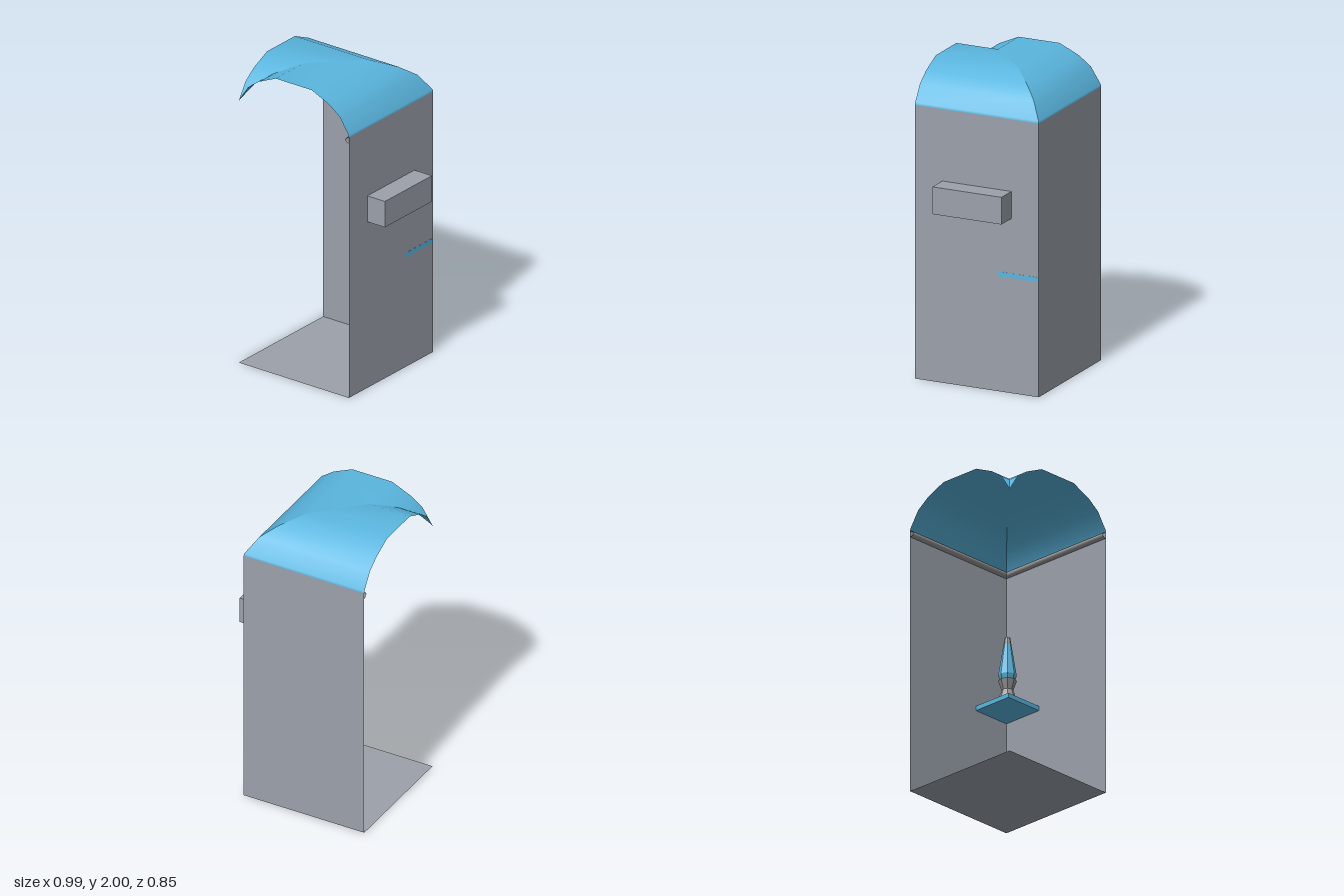
import * as THREE from 'three';

const LEFT = -0.495, RIGHT = 0.355, BACK = -0.425, FRONT = 0.425, EAVES = 1.76;
const MID_X = (LEFT + RIGHT) / 2, SIZE = RIGHT - LEFT;

function material(name, color, side = THREE.FrontSide, flatShading = false) {
  const m = new THREE.MeshStandardMaterial({ color, side, flatShading });
  m.name = name;
  return m;
}

// Sweeps a profile of [inset, y] points along the back and right sides,
// mitred in the corner; each arm is its own strip so the mitre stays sharp.
function mitredSweep(profile) {
  const rows = [
    profile.map(([d, y]) => [LEFT, y, BACK + d]),
    profile.map(([d, y]) => [RIGHT - d, y, BACK + d]),
    profile.map(([d, y]) => [RIGHT - d, y, FRONT]),
  ];
  const n = profile.length, positions = [], index = [];
  for (let arm = 0; arm < 2; arm++) {
    const base = positions.length / 3;
    positions.push(...rows[arm].flat(), ...rows[arm + 1].flat());
    for (let i = 0; i < n - 1; i++) {
      const a = base + i, b = a + n;
      index.push(a, a + 1, b, a + 1, b + 1, b);
    }
  }
  const g = new THREE.BufferGeometry();
  g.setAttribute('position', new THREE.Float32BufferAttribute(positions, 3));
  g.setIndex(index);
  g.computeVertexNormals();
  return g;
}

export function createModel() {
  const group = new THREE.Group();
  const panel = material('grey panel', 0x9ba1ab, THREE.DoubleSide);
  const blue = material('blue', 0x5ab6df, THREE.DoubleSide);
  const metal = material('metal', 0x9a9a9a, THREE.DoubleSide);
  const lampMetal = metal.clone();
  lampMetal.flatShading = true;
  const lampBlue = blue.clone();
  lampBlue.flatShading = true;

  const add = (name, geometry, mat, x = 0, y = 0, z = 0, parent = group) => {
    const mesh = new THREE.Mesh(geometry, mat);
    mesh.name = name;
    mesh.position.set(x, y, z);
    parent.add(mesh);
    return mesh;
  };

  // Floor and two walls, all single sheets
  add('floor', new THREE.PlaneGeometry(SIZE, SIZE).rotateX(-Math.PI / 2), panel, MID_X, 0, 0);
  add('backWall', new THREE.PlaneGeometry(SIZE, EAVES), panel, MID_X, EAVES / 2, BACK);
  add('sideWall', new THREE.PlaneGeometry(SIZE, EAVES).rotateY(-Math.PI / 2), panel, RIGHT, EAVES / 2, 0);

  // Barrel roof turning the corner, open at the left and front
  const half = [[0, EAVES], [0.002, 1.775], [0.07, 1.88], [0.152, 1.94], [0.285, 2]];
  const arch = [...half, ...half.map(([d, y]) => [SIZE - d, y]).reverse()];
  add('roof', mitredSweep(arch), blue);

  // Half-round rail under the eaves
  const bead = [];
  for (let i = 0; i <= 8; i++) {
    const a = (i / 8) * Math.PI;
    bead.push([0.002 + 0.024 * Math.sin(a), 1.74 + 0.02 * Math.cos(a)]);
  }
  add('rail', mitredSweep(bead), metal);

  // Box on the outside of the side wall
  add('outerBox', new THREE.BoxGeometry(0.135, 0.175, 0.475), panel, RIGHT + 0.0675, 1.21, 0);

  // Corner shelf, its end just showing through the side wall
  add('shelf', new THREE.BoxGeometry(0.271, 0.03, 0.278), blue, 0.2205, 0.755, -0.285);

  // Faceted lamp on the shelf
  const lamp = new THREE.Group();
  lamp.name = 'lamp';
  lamp.position.set(0.22, 0.77, -0.285);
  group.add(lamp);
  const turned = (name, points, mat) => add(
    name, new THREE.LatheGeometry(points.map(([r, y]) => new THREE.Vector2(r, y)), 8), mat, 0, 0, 0, lamp);
  turned('lampBase', [[0, 0], [0.072, 0], [0.036, 0.105], [0.058, 0.17], [0, 0.17]], lampMetal);
  turned('lampGlass', [[0.046, 0.17], [0.057, 0.205], [0.025, 0.41]], lampBlue);
  turned('lampCap', [[0.025, 0.41], [0.017, 0.462], [0, 0.462]], lampMetal);

  return group;
}
